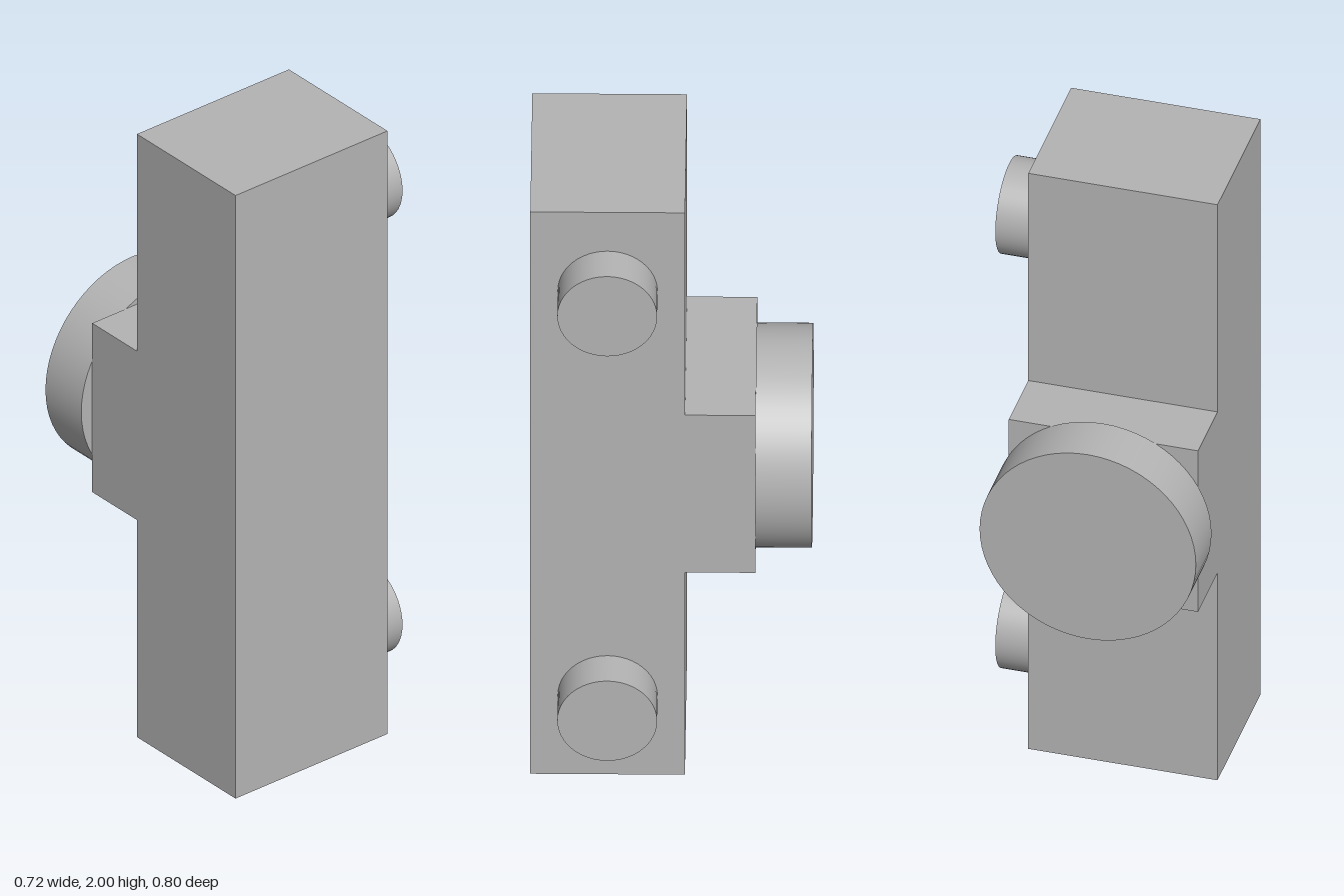
import * as THREE from 'three';

export function createModel() {
  const model = new THREE.Group();
  const gray = new THREE.MeshStandardMaterial({ color: 0xb4b4b4 });
  gray.name = 'plain gray';

  const add = (name, geometry, x, y, z) => {
    const mesh = new THREE.Mesh(geometry, gray);
    mesh.name = name;
    mesh.position.set(x, y, z);
    model.add(mesh);
    return mesh;
  };

  // Upright bar and the square boss on its back
  const centreX = -0.04;
  add('body', new THREE.BoxGeometry(0.56, 2, 0.44), centreX, 1, 0.18);
  add('rearBlock', new THREE.BoxGeometry(0.56, 0.56, 0.2), centreX, 1, -0.14);

  // Large round knob behind the boss
  const knob = new THREE.CylinderGeometry(0.32, 0.32, 0.16, 64).rotateX(Math.PI / 2);
  add('rearKnob', knob, centreX, 1, -0.32);

  // Two pegs on the left side
  const peg = new THREE.CylinderGeometry(0.142, 0.142, 0.12, 48).rotateZ(Math.PI / 2);
  add('lowerPeg', peg, 0.3, 0.28, 0.18);
  add('upperPeg', peg, 0.3, 1.72, 0.18);

  return model;
}
